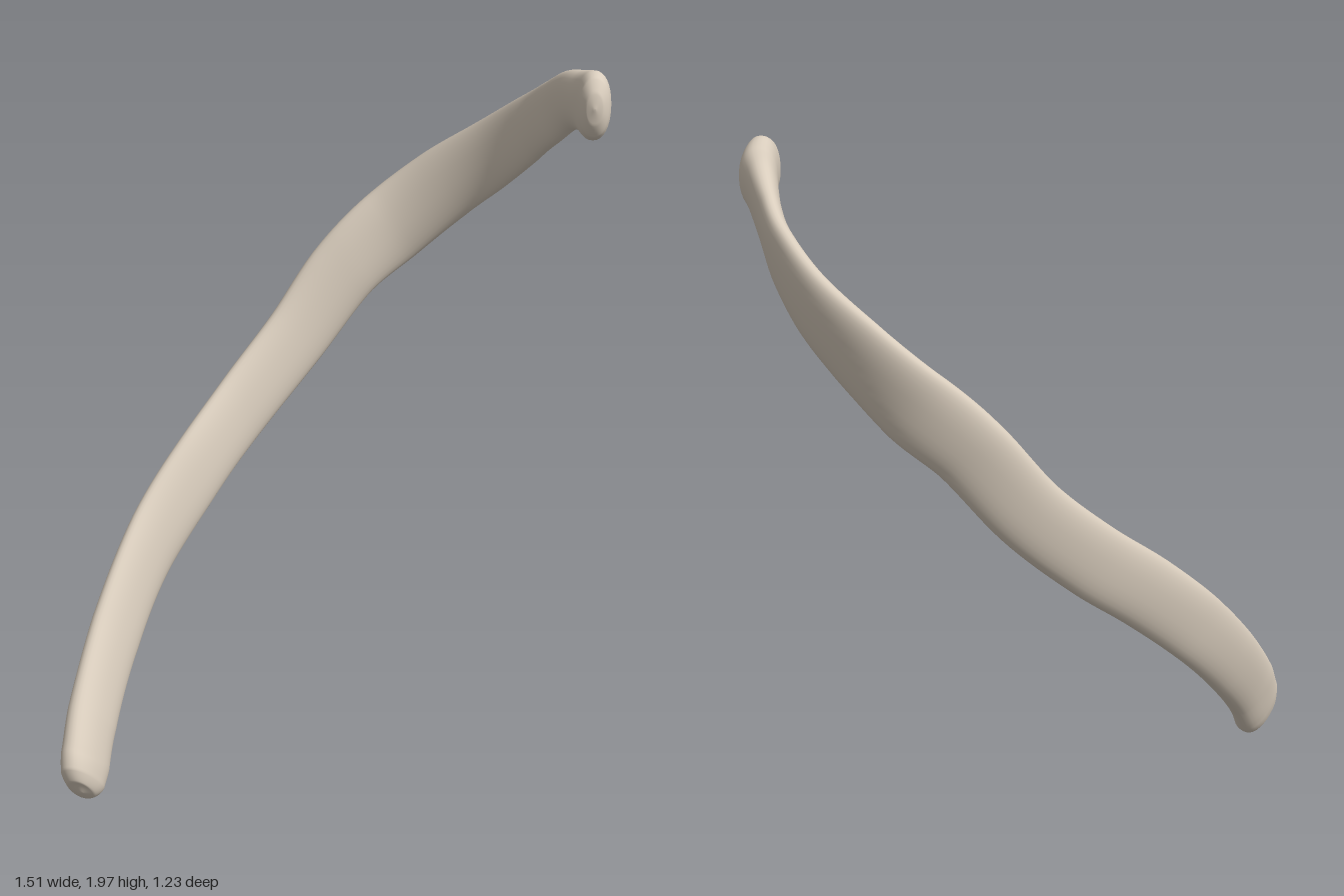
import * as THREE from 'three';

// Stations from the lower front end to the head:
// centre x, y, z, half height, half thickness, outward lean of the upper edge (radians)
const STATIONS = [
  [-0.695, 0.065, 0.595, 0.004, 0.004, 0.35],
  [-0.695, 0.07, 0.588, 0.055, 0.03, 0.35],
  [-0.693, 0.09, 0.565, 0.088, 0.045, 0.35],
  [-0.69, 0.13, 0.525, 0.1, 0.048, 0.35],
  [-0.68, 0.22, 0.44, 0.1, 0.045, 0.35],
  [-0.635, 0.4, 0.24, 0.103, 0.04, 0.3],
  [-0.555, 0.59, 0.03, 0.106, 0.038, 0.22],
  [-0.43, 0.77, -0.155, 0.108, 0.038, 0.2],
  [-0.3, 0.925, -0.32, 0.107, 0.038, 0.18],
  [-0.15, 1.1, -0.45, 0.106, 0.039, 0.18],
  [0, 1.3, -0.528, 0.11, 0.039, 0.18],
  [0.15, 1.435, -0.565, 0.118, 0.038, 0.16],
  [0.3, 1.56, -0.545, 0.115, 0.038, 0.16],
  [0.43, 1.66, -0.485, 0.108, 0.038, 0.14],
  [0.54, 1.76, -0.385, 0.1, 0.036, 0.12],
  [0.605, 1.83, -0.28, 0.093, 0.037, 0.1],
  [0.655, 1.885, -0.18, 0.085, 0.046, 0.05],
  [0.695, 1.9, -0.08, 0.088, 0.054, 0],
  [0.707, 1.902, -0.01, 0.097, 0.05, 0],
  [0.707, 1.904, 0.035, 0.083, 0.042, 0],
  [0.707, 1.905, 0.06, 0.045, 0.024, 0],
  [0.707, 1.905, 0.068, 0.003, 0.003, 0],
];

// Sweeps a twisting oval along the curved centre line
function shaftGeometry(steps = 168, sides = 32) {
  const path = new THREE.CatmullRomCurve3(STATIONS.map(s => new THREE.Vector3(s[0], s[1], s[2])));
  const size = new THREE.CatmullRomCurve3(STATIONS.map(s => new THREE.Vector3(s[3], s[4], s[5])));
  const up = new THREE.Vector3(0, 1, 0);
  const round = v => Math.sign(v) * Math.pow(Math.abs(v), 0.9);
  const positions = [], index = [];
  for (let i = 0; i <= steps; i++) {
    const u = i / steps;
    const centre = path.getPoint(u), s = size.getPoint(u);
    const tangent = path.getTangent(u);
    const out = up.clone().cross(tangent).normalize();
    const high = tangent.clone().cross(out);
    // lean the section about the centre line
    out.applyAxisAngle(tangent, -s.z);
    high.applyAxisAngle(tangent, -s.z);
    // keep the wide axis tipping outward
    for (let j = 0; j < sides; j++) {
      const a = (j / sides) * Math.PI * 2;
      const p = centre.clone()
        .addScaledVector(out, Math.max(s.y, 0.002) * round(Math.cos(a)))
        .addScaledVector(high, Math.max(s.x, 0.002) * round(Math.sin(a)));
      positions.push(p.x, p.y, p.z);
    }
  }
  const at = (i, j) => i * sides + (j % sides);
  for (let i = 0; i < steps; i++) {
    for (let j = 0; j < sides; j++) {
      const a = at(i, j), b = at(i, j + 1), c = at(i + 1, j), d = at(i + 1, j + 1);
      index.push(a, b, c, b, d, c);
    }
  }
  // close both tips
  for (let j = 1; j < sides - 1; j++) {
    index.push(at(0, 0), at(0, j + 1), at(0, j));
    index.push(at(steps, 0), at(steps, j), at(steps, j + 1));
  }
  const geometry = new THREE.BufferGeometry();
  geometry.setAttribute('position', new THREE.Float32BufferAttribute(positions, 3));
  geometry.setIndex(index);
  geometry.computeVertexNormals();
  return geometry;
}

export function createModel() {
  const group = new THREE.Group();
  group.name = 'rib';
  const bone = new THREE.MeshStandardMaterial({ color: 0xd9cdbd });
  const shaft = new THREE.Mesh(shaftGeometry(), bone);
  shaft.name = 'ribBone';
  group.add(shaft);
  return group;
}
